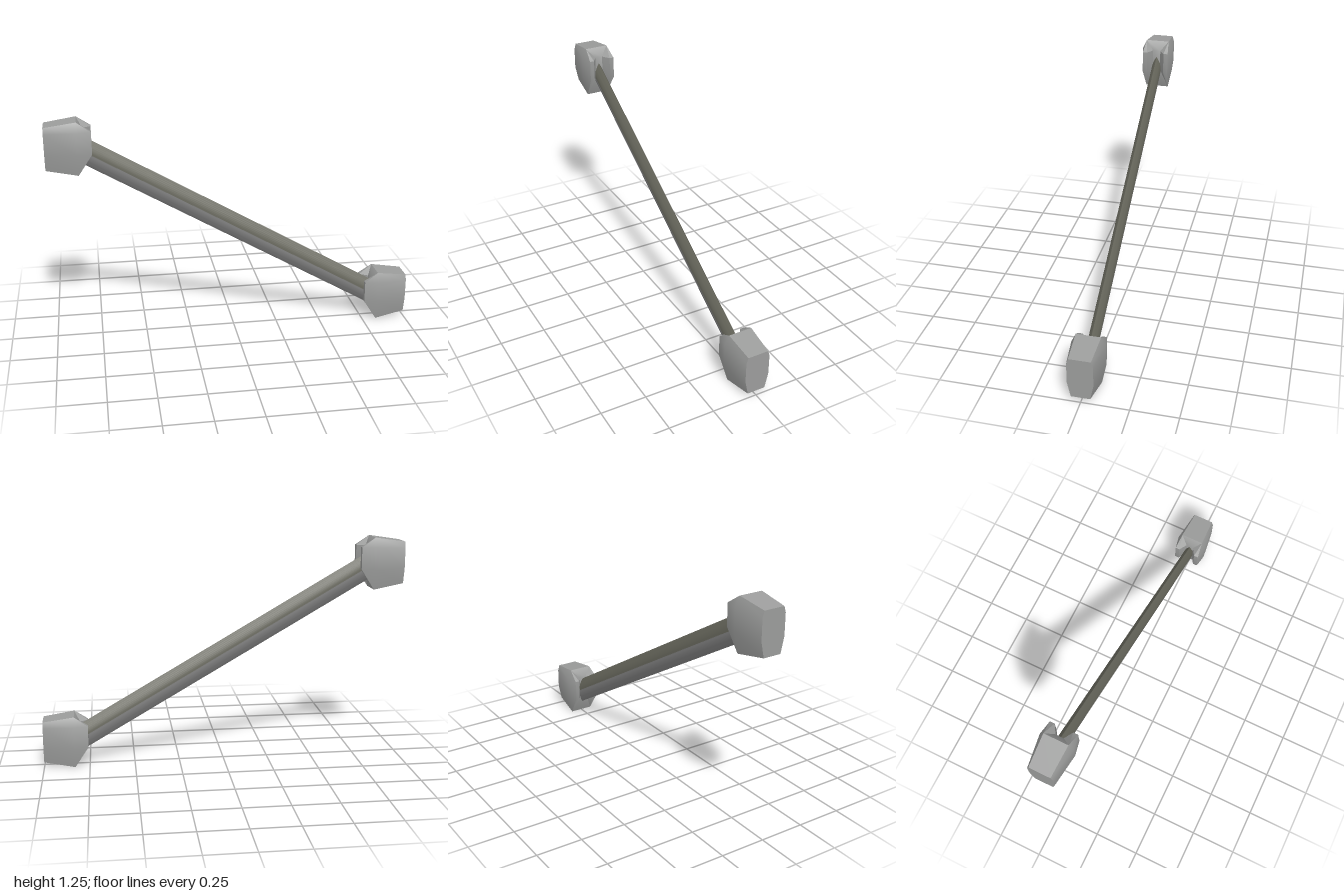
import * as THREE from 'three';
import { toCreasedNormals } from 'three/addons/utils/BufferGeometryUtils.js';

const material = (name, color) => {
  const m = new THREE.MeshStandardMaterial({ color });
  m.name = name;
  return m;
};

// Forked end bracket: four stacked outlines, with the fork open towards -x
function bracketGeometry() {
  const levels = [
    // outer-end height and half width, inner height and half width, fork present
    { ye: 0.03, ze: 0.05, y: 0, z: 0.066, fork: false },
    { ye: 0.115, ze: 0.068, y: 0.115, z: 0.09, fork: true },
    { ye: 0.23, ze: 0.068, y: 0.235, z: 0.09, fork: true },
    { ye: 0.262, ze: 0.058, y: 0.287, z: 0.066, fork: false },
  ];
  const positions = [], index = [], n = 10;
  for (const l of levels) {
    const half = [[1, l.ze], [0.83, l.z]];
    // prong tip outside, prong tip inside, slot back wall
    for (const p of [[0.755, 0.075], [0.755, 0.05], [0.8, 0.022]]) {
      half.push(l.fork ? p : [0.83, l.z]);
    }
    const loop = [...half, ...half.map(([x, z]) => [x, -z]).reverse()];
    loop.forEach(([x, z]) => positions.push(x, x === 1 ? l.ye : l.y, z));
  }
  for (let l = 0; l < levels.length - 1; l++) {
    for (let j = 0; j < n; j++) {
      const a = l * n + j, b = l * n + (j + 1) % n;
      index.push(a, a + n, b + n, a, b + n, b);
    }
  }
  // bottom and top caps
  index.push(0, 1, 8, 0, 8, 9);
  const t = (levels.length - 1) * n;
  index.push(t + 9, t + 8, t + 1, t + 9, t + 1, t);
  const g = new THREE.BufferGeometry();
  g.setAttribute('position', new THREE.Float32BufferAttribute(positions, 3));
  g.setIndex(index);
  return toCreasedNormals(g, 0.6);
}

// One half of the lens-shaped bar, extruded along x
function barHalfGeometry(sign, length) {
  const w = 0.028, h = 0.067 * sign;
  const s = new THREE.Shape();
  s.moveTo(w, 0);
  s.quadraticCurveTo(w, h * 0.45, 0, h);
  s.quadraticCurveTo(-w, h * 0.45, -w, 0);
  s.closePath();
  const g = new THREE.ExtrudeGeometry(s, { depth: length, bevelEnabled: false, curveSegments: 8 });
  g.translate(0, 0, -length / 2);
  g.rotateY(Math.PI / 2);
  return toCreasedNormals(g, 0.7);
}

export function createModel() {
  const model = new THREE.Group();
  model.name = 'diagonalBrace';
  const bracketGray = material('bracket gray', 0x9c9d9c);
  const olive = material('olive gray', 0x68685d);
  const steel = material('steel gray', 0x858585);

  const add = (parent, name, geometry, mat) => {
    const mesh = new THREE.Mesh(geometry, mat);
    mesh.name = name;
    parent.add(mesh);
    return mesh;
  };

  // end brackets, the upper one turned to face the lower
  const bracket = bracketGeometry();
  add(model, 'lowerBracket', bracket, bracketGray);
  const upper = add(model, 'upperBracket', bracket, bracketGray);
  upper.rotation.y = Math.PI;
  upper.position.y = 0.958;

  // sloping bar between the forks
  const bar = new THREE.Group();
  bar.name = 'bar';
  add(bar, 'barUpperHalf', barHalfGeometry(1, 1.97), olive);
  add(bar, 'barLowerHalf', barHalfGeometry(-1, 1.97), steel);
  bar.position.y = 0.613;
  bar.rotation.z = -0.525;
  model.add(bar);

  return model;
}
